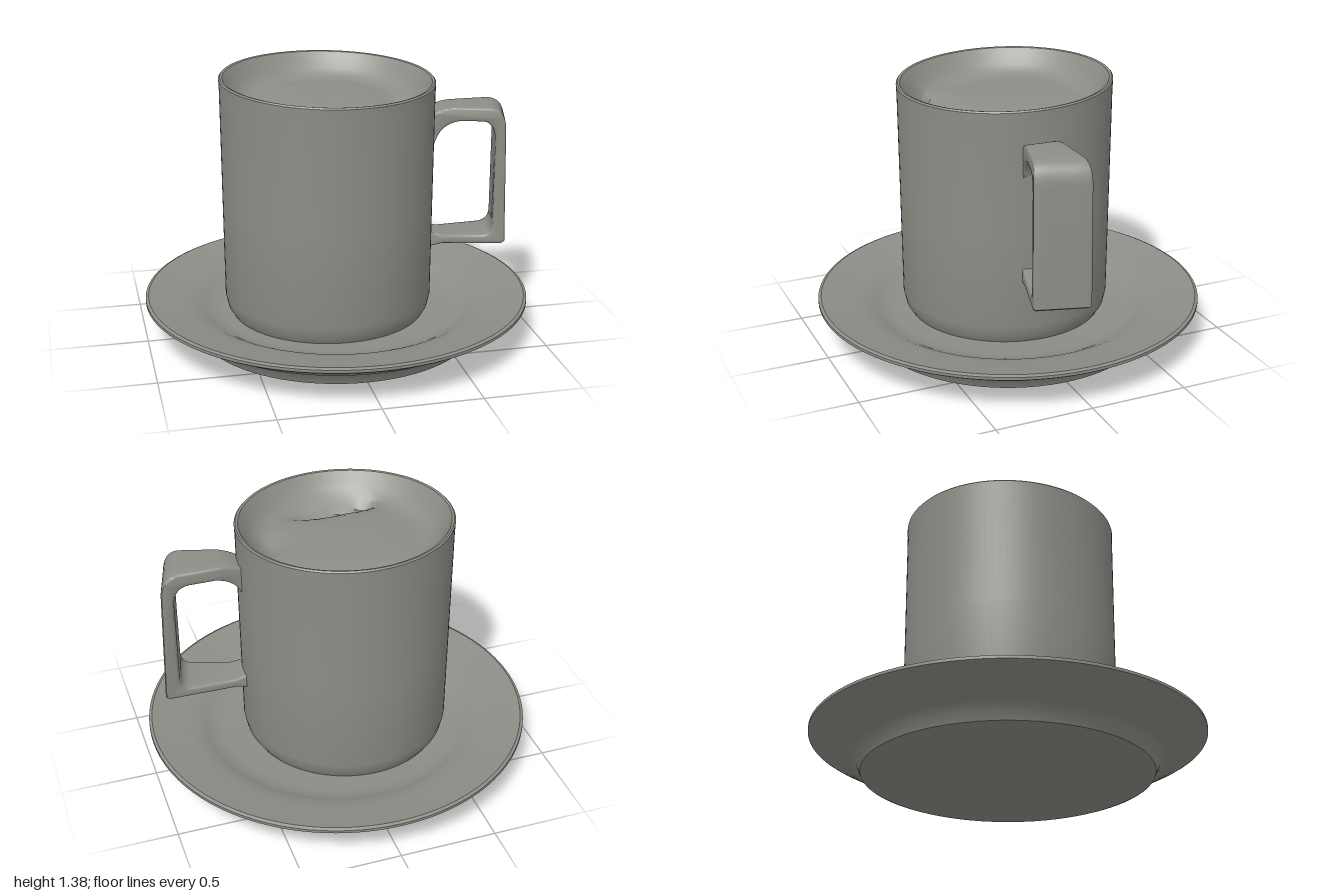
import * as THREE from 'three';
import { toCreasedNormals } from 'three/addons/utils/BufferGeometryUtils.js';

const clay = new THREE.MeshStandardMaterial({ color: 0x8e8e88 });
clay.name = 'greyClay';

const lathe = (pts, segments = 96) =>
  new THREE.LatheGeometry(pts.map(([r, y]) => new THREE.Vector2(r, y)), segments);

// Move every vertex of a geometry by a rule
function deform(geo, rule) {
  const p = geo.attributes.position, v = new THREE.Vector3();
  for (let i = 0; i < p.count; i++) {
    rule(v.fromBufferAttribute(p, i));
    p.setXYZ(i, v.x, v.y, v.z);
  }
  return geo;
}

function part(name, geo, crease = 0.6) {
  const mesh = new THREE.Mesh(toCreasedNormals(geo, crease), clay);
  mesh.name = name;
  return mesh;
}

// Saucer: flat foot, flared underside, thin lip and a stepped well
function makeSaucer() {
  return part('saucer', lathe([
    [0, 0.005], [0.71, 0.005], [0.735, 0.015], [0.76, 0.07], [0.785, 0.095], [0.85, 0.115],
    [0.92, 0.155], [0.985, 0.19], [1, 0.2], [1, 0.215], [0.985, 0.222],
    [0.9, 0.205], [0.8, 0.187], [0.74, 0.175], [0.7, 0.155], [0.66, 0.135], [0.6, 0.127], [0, 0.127],
  ]));
}

// Cup wall, rim and sunken drink in one profile, with a gently tilted rim
function makeCup() {
  const profile = [[0.5, 0.12], [0.525, 0.16], [0.538, 0.22], [0.541, 0.7], [0.545, 1.3],
    [0.547, 1.355], [0.54, 1.363], [0.528, 1.36], [0.505, 1.325], [0.475, 1.28], [0.44, 1.25]];
  for (let i = 10; i >= 0; i--) profile.push([i * 0.04, 1.235]);
  const geo = deform(lathe(profile), (v) => {
    const r = Math.hypot(v.x, v.z);
    if (v.y > 1.2) v.y += -0.036 * v.z - 0.015 * v.x;
    if (r < 0.46 && v.y > 1) {
      // Trough along the front of the drink, a small dimple on the left, a soft swell behind
      const trough = Math.exp(-(((v.z - 0.33) / 0.05) ** 2) - (((v.x + 0.06) / 0.22) ** 4));
      const dimple = Math.exp(-(((v.x - 0.36) / 0.06) ** 2) - (((v.z - 0.07) / 0.09) ** 2));
      const swell = Math.exp(-((v.x / 0.28) ** 4) - (((v.z + 0.05) / 0.3) ** 4));
      v.y += 0.02 * swell - 0.06 * trough - 0.03 * dimple;
    }
    v.x -= 0.045;
  });
  return part('cup', geo);
}

// Square-cornered handle: widens outwards and twists a little to the front
function makeHandle() {
  const s = new THREE.Shape();
  s.moveTo(0.45, 1.15);
  s.quadraticCurveTo(0.53, 1.2, 0.6, 1.2);
  s.lineTo(0.78, 1.2);
  s.quadraticCurveTo(0.855, 1.195, 0.86, 1.1);
  s.lineTo(0.875, 0.5);
  s.lineTo(0.86, 0.49);
  s.lineTo(0.54, 0.485);
  s.lineTo(0.45, 0.46);
  s.lineTo(0.45, 0.54);
  s.lineTo(0.54, 0.515);
  s.lineTo(0.76, 0.52);
  s.quadraticCurveTo(0.82, 0.53, 0.82, 0.6);
  s.lineTo(0.82, 1.05);
  s.quadraticCurveTo(0.81, 1.14, 0.74, 1.145);
  s.lineTo(0.62, 1.145);
  s.quadraticCurveTo(0.51, 1.13, 0.48, 1.02);
  s.lineTo(0.45, 1.0);
  s.closePath();
  const geo = new THREE.ExtrudeGeometry(s, {
    depth: 0.88, steps: 4, curveSegments: 8,
    bevelThickness: 0.06, bevelSize: 0.012, bevelOffset: -0.004, bevelSegments: 3,
  });
  deform(geo, (v) => {
    const k = THREE.MathUtils.clamp((v.x - 0.45) / 0.43, 0, 1);
    const dz = (v.z - 0.44) * (0.15 + 0.12 * k);
    v.z = 0.05 + 0.055 * k + dz;
    v.x -= 0.29 * k * dz;
  });
  return part('handle', geo, 0.7);
}

export function createModel() {
  const model = new THREE.Group();
  model.name = 'cupAndSaucer';
  model.add(makeSaucer(), makeCup(), makeHandle());
  return model;
}
